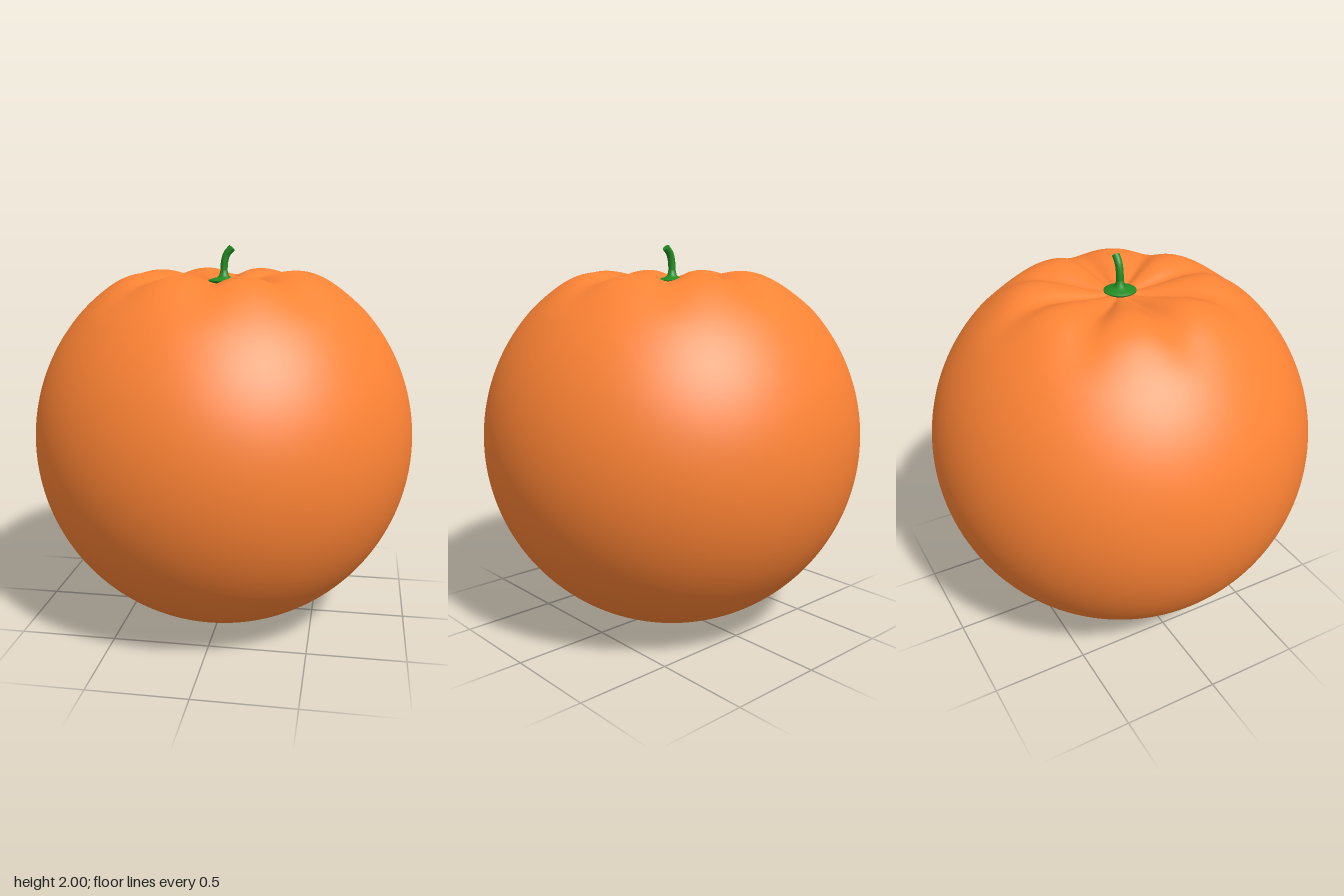
import * as THREE from 'three';

const R = 0.995; // fruit radius, also the height of its centre

// Drop of the surface at distance r from the axis and angle a: a central
// hollow plus eight soft grooves running out from the stem
function topDrop(r, a) {
  let drop = 0;
  if (r < 0.62) drop += 0.185 * Math.pow(1 - (r / 0.62) ** 2, 2.8);
  if (r < 0.74) {
    const step = Math.PI / 4;
    const off = a - Math.round(a / step) * step;
    const depth = 0.038 * Math.pow(Math.max(0, Math.sin(Math.PI * r / 0.74)), 1.3);
    drop += depth * Math.exp(-((off / 0.19) ** 2));
  }
  return drop;
}

function topHeight(x, z) {
  const r = Math.hypot(x, z);
  return R + Math.sqrt(Math.max(0, R * R - r * r)) - topDrop(r, Math.atan2(z, x));
}

// Ball with its crown pushed down; normals come from the height rule itself
function fruitGeometry() {
  const geo = new THREE.SphereGeometry(R, 256, 128);
  const p = geo.attributes.position, n = geo.attributes.normal;
  const v = new THREE.Vector3(), e = 0.002;
  for (let i = 0; i < p.count; i++) {
    const x = p.getX(i), y = p.getY(i), z = p.getZ(i);
    if (y > 0 && Math.hypot(x, z) < 0.76) {
      p.setY(i, topHeight(x, z));
      v.set(
        (topHeight(x - e, z) - topHeight(x + e, z)) / (2 * e), 1,
        (topHeight(x, z - e) - topHeight(x, z + e)) / (2 * e)
      ).normalize();
      n.setXYZ(i, v.x, v.y, v.z);
    } else {
      p.setY(i, y + R);
    }
  }
  return geo;
}

export function createModel() {
  const model = new THREE.Group();
  const orange = new THREE.MeshStandardMaterial({ color: 0xff8435 });
  const green = new THREE.MeshStandardMaterial({ color: 0x228b22 });
  const add = (name, geo, mat, parent = model) => {
    const mesh = new THREE.Mesh(geo, mat);
    mesh.name = name;
    parent.add(mesh);
    return mesh;
  };

  add('fruit', fruitGeometry(), orange);

  // Flared disc where the stem meets the fruit
  const stem = new THREE.Group();
  stem.name = 'stem';
  model.add(stem);
  const profile = [[0, 1.8], [0.06, 1.806], [0.08, 1.817], [0.08, 1.823],
    [0.06, 1.83], [0.036, 1.836], [0.024, 1.848], [0.018, 1.875]]
    .map(([x, y]) => new THREE.Vector2(x, y));
  add('stemBase', new THREE.LatheGeometry(profile, 40), green, stem);

  // Stalk, bent over towards +x, with a flat cut end
  const path = new THREE.CatmullRomCurve3([[0, 1.82], [0, 1.87], [0.004, 1.92],
    [0.016, 1.957], [0.042, 1.986]].map(([x, y]) => new THREE.Vector3(x, y, 0)));
  add('stalk', new THREE.TubeGeometry(path, 32, 0.019, 20), green, stem);
  const end = add('stalkEnd', new THREE.CircleGeometry(0.019, 20), green, stem);
  end.position.copy(path.getPoint(1));
  end.quaternion.setFromUnitVectors(new THREE.Vector3(0, 0, 1), path.getTangent(1));

  return model;
}
